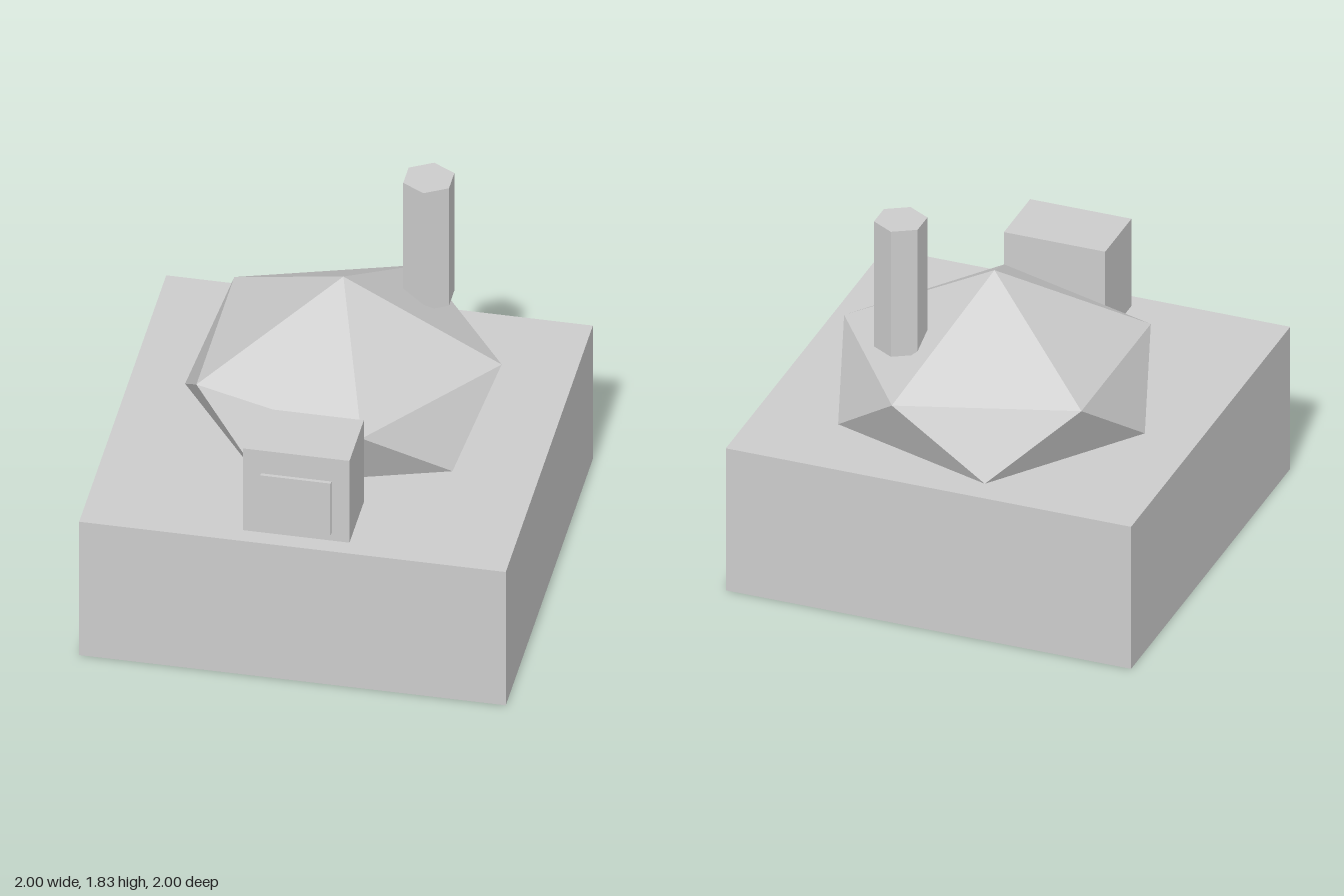
import * as THREE from 'three';

export function createModel() {
  const model = new THREE.Group();
  const stone = new THREE.MeshStandardMaterial({ color: 0xcccccc, flatShading: true });
  stone.name = 'pale grey';

  const add = (name, geometry, x, y, z) => {
    const mesh = new THREE.Mesh(geometry, stone);
    mesh.name = name;
    mesh.position.set(x, y, z);
    model.add(mesh);
  };

  // Square plinth
  add('base', new THREE.BoxGeometry(2, 0.75, 2), 0, 0.375, 0);

  // Faceted dome: apex over two staggered five-sided rings
  const radius = 0.742, positions = [];
  const ring = (i, offset, y) => {
    const a = (i + offset) * Math.PI * 2 / 5;
    return [Math.cos(a) * radius, y, -Math.sin(a) * radius];
  };
  const tri = (...corners) => corners.forEach((c) => positions.push(...c));
  for (let i = 0; i < 5; i++) {
    const a = ring(i, 0, 0.318), b = ring(i + 1, 0, 0.318);
    const c = ring(i, 0.5, 0), d = ring(i + 1, 0.5, 0);
    tri([0, 0.708, 0], a, b);
    tri(a, c, b);
    tri(b, c, d);
    tri([0, 0, 0], d, c);
  }
  const dome = new THREE.BufferGeometry();
  dome.setAttribute('position', new THREE.Float32BufferAttribute(positions, 3));
  dome.computeVertexNormals();
  add('dome', dome, 0, 0.752, -0.17);

  // Six-sided chimney, partly sunk into the dome
  add('chimney', new THREE.CylinderGeometry(0.124, 0.124, 0.66, 6), 0.333, 1.503, -0.5);

  // Oven mouth in front of the dome, with a raised door
  add('mouth', new THREE.BoxGeometry(0.5, 0.46, 0.33), 0, 0.98, 0.75);
  add('door', new THREE.BoxGeometry(0.33, 0.29, 0.04), 0, 0.937, 0.912);

  return model;
}
